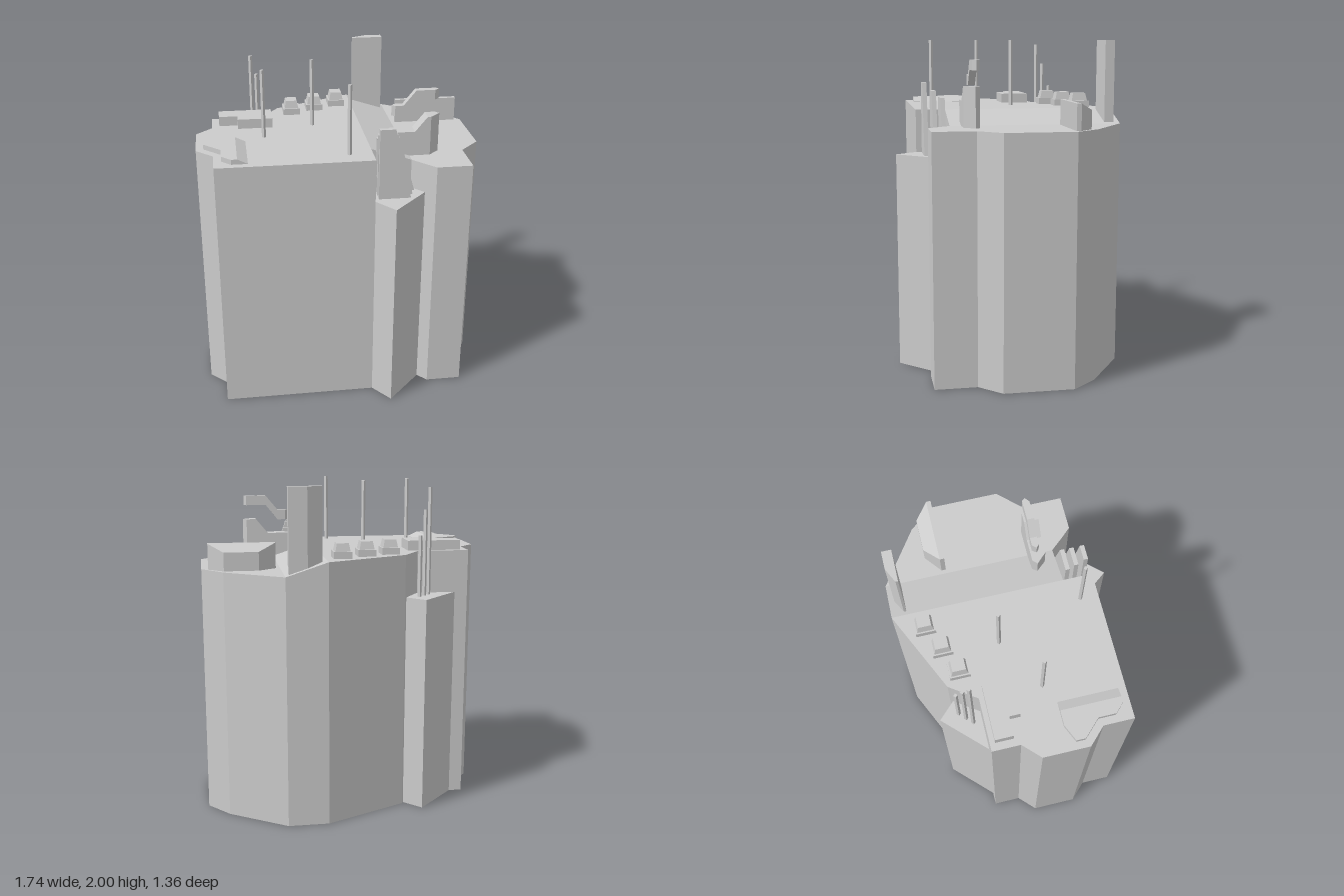
import * as THREE from 'three';

const DECK = 1.58, LOW = 1.5, LEDGE = 1.32;
const material = new THREE.MeshStandardMaterial({ color: 0xcccccc, flatShading: true, side: THREE.DoubleSide });
const height = h => (typeof h === 'function' ? h : () => h);
const ramp = (v, a, b, ya, yb) => THREE.MathUtils.mapLinear(THREE.MathUtils.clamp(v, a, b), a, b, ya, yb);

// Vertical walls along a plan path of [x, z] points, anticlockwise from above
function walls(path, bottom, top, closed = false) {
  const lo = height(bottom), hi = height(top), out = [];
  const count = closed ? path.length : path.length - 1;
  for (let i = 0; i < count; i++) {
    const [ax, az] = path[i], [bx, bz] = path[(i + 1) % path.length];
    const a = [ax, lo(ax, az), az], b = [bx, lo(bx, bz), bz];
    const c = [bx, hi(bx, bz), bz], d = [ax, hi(ax, az), az];
    out.push(...a, ...b, ...c, ...a, ...c, ...d);
  }
  return out;
}

// Filled plan polygon laid on a height rule
function cap(points, level, up = true) {
  const y = height(level), out = [];
  const flat = points.map(([x, z]) => new THREE.Vector2(x, -z));
  if (THREE.ShapeUtils.isClockWise(flat)) flat.reverse();
  for (const [a, b, c] of THREE.ShapeUtils.triangulateShape(flat, [])) {
    for (const i of up ? [a, b, c] : [a, c, b]) out.push(flat[i].x, y(flat[i].x, -flat[i].y), -flat[i].y);
  }
  return out;
}

function mesh(name, ...pieces) {
  const g = new THREE.BufferGeometry();
  g.setAttribute('position', new THREE.Float32BufferAttribute(pieces.flat(), 3));
  g.computeVertexNormals();
  const m = new THREE.Mesh(g, material);
  m.name = name;
  return m;
}

// Closed block over a plan outline; caps lists the flat facets of its top
function block(name, outline, bottom, top, caps = [outline]) {
  return mesh(name, walls(outline, bottom, top, true),
    ...caps.map(c => cap(c, top)), ...caps.map(c => cap(c, bottom, false)));
}

function solid(name, geometry, x, y, z) {
  const m = new THREE.Mesh(geometry, material);
  m.name = name;
  m.position.set(x, y, z);
  return m;
}

export function createModel() {
  const model = new THREE.Group();
  model.name = 'towerBlock';

  // Hull, open underneath, with a deck that ramps down towards +x
  const deck = x => ramp(x, 0.155, 0.4, DECK, LOW);
  const frontJoin = [0.47, 0.446], sideJoinA = [-0.35, -0.435], sideJoinB = [-0.69, -0.29];
  const frontCorner = [0.155, 0.545], notchA = [0.155, 0.365], notchB = [0.4, 0.365];
  const rightSide = [frontJoin, [0.525, 0.505], [0.74, 0.505], [0.74, 0.25], [0.865, 0.12], [0.865, -0.3],
    [0.74, -0.45], [0.4, -0.68]];
  const backLeft = [0.155, -0.68], backNotch = [-0.45, -0.29];
  const leftSide = [sideJoinB, [-0.77, -0.29], [-0.77, -0.12], [-0.87, -0.02], [-0.87, 0.26], [-0.77, 0.36],
    [-0.77, 0.545], frontCorner];
  const backCorner = [-0.34, -0.45];
  model.add(mesh('hull',
    walls([...rightSide, backLeft, backCorner, sideJoinA], 0, deck),
    walls(leftSide, 0, deck),
    walls([frontCorner, notchA, notchB, frontJoin], LEDGE, deck),
    walls([sideJoinA, backNotch, sideJoinB], LEDGE, deck),
    cap([...leftSide, notchA, backLeft, backCorner, sideJoinA, backNotch], deck),
    cap([notchA, notchB, [0.4, -0.68], backLeft], deck),
    cap([...rightSide, notchB], deck)));

  // Lower corner buttresses
  const frontWedge = [frontCorner, [0.255, 0.675], frontJoin];
  model.add(mesh('frontButtress', walls(frontWedge, 0, LEDGE), cap([...frontWedge, notchB, notchA], LEDGE)));
  const sideWedge = [sideJoinA, [-0.45, -0.535], sideJoinB];
  model.add(mesh('sideButtress', walls(sideWedge, 0, LEDGE), cap([...sideWedge, backNotch], LEDGE)));

  // Sloping fins on the front buttress
  for (const [z, top, x1, x2] of [[0.383, 1.66, 0.315, 0.413], [0.433, 1.7, 0.295, 0.392], [0.487, 1.75, 0.272, 0.372]]) {
    const profile = new THREE.Shape([[0.18, LEDGE], [x2, LEDGE], [x1, top], [0.18, top]].map(p => new THREE.Vector2(...p)));
    model.add(solid('fin', new THREE.ExtrudeGeometry(profile, { depth: 0.026, bevelEnabled: false }), 0, 0, z));
  }

  // Lower bridge: stepped top, chamfered ends
  const bridgeTop = x => ramp(x, 0.43, 0.505, 1.65, 1.74);
  model.add(block('lowerBridge',
    [[0.265, 0.235], [0.325, 0.297], [0.43, 0.297], [0.505, 0.297], [0.525, 0.297], [0.588, 0.235], [0.565, 0.208],
      [0.505, 0.208], [0.43, 0.208], [0.29, 0.208]], LOW, bridgeTop,
    [[[0.265, 0.235], [0.325, 0.297], [0.43, 0.297], [0.43, 0.208], [0.29, 0.208]],
      [[0.43, 0.297], [0.505, 0.297], [0.505, 0.208], [0.43, 0.208]],
      [[0.505, 0.297], [0.525, 0.297], [0.588, 0.235], [0.565, 0.208], [0.505, 0.208]]]));

  // Upper bridge: cranked bar above it
  const f = 0.25, b = 0.208;
  model.add(block('upperBridge',
    [[0.295, 0.232], [0.315, f], [0.365, f], [0.44, f], [0.553, f], [0.58, 0.228], [0.565, b], [0.44, b], [0.365, b], [0.315, b]],
    x => ramp(x, 0.365, 0.44, 1.737, 1.83), x => ramp(x, 0.365, 0.44, 1.8, 1.89),
    [[[0.295, 0.232], [0.315, f], [0.365, f], [0.365, b], [0.315, b]],
      [[0.365, f], [0.44, f], [0.44, b], [0.365, b]],
      [[0.44, f], [0.553, f], [0.58, 0.228], [0.565, b], [0.44, b]]]));

  // Tall rear plate
  model.add(block('tallPlate', [[0.18, -0.587], [0.378, -0.587], [0.378, -0.645], [0.27, -0.645], [0.18, -0.602]], LOW, 2));

  // Side parapet with a top falling to the back
  const ridge = [[0.425, -0.327], [0.825, -0.327]];
  const parapetFront = [[0.425, -0.3], [0.825, -0.3]], parapetBack = [[0.735, -0.41], [0.53, -0.41]];
  model.add(block('parapet', [...parapetFront, ridge[1], ...parapetBack, ridge[0]], LOW,
    (x, z) => ramp(z, -0.41, -0.327, 1.61, 1.653),
    [[...parapetFront, ridge[1], ridge[0]], [ridge[0], ridge[1], ...parapetBack]]));

  // L-shaped roof box
  model.add(block('roofBox', [[-0.725, -0.15], [-0.61, -0.15], [-0.61, -0.085], [-0.395, -0.085], [-0.395, -0.26],
    [-0.725, -0.26]], DECK, 1.64));

  // Low roof pad, sloping down to the deck
  const padA = [-0.635, 0.5], padB = [-0.635, 0.14], padEnd = [[-0.575, 0.5], [-0.575, 0.14]];
  const padLeft = [[-0.725, 0.14], [-0.825, 0.185], [-0.825, 0.24], [-0.725, 0.34], [-0.725, 0.445], [-0.67, 0.5]];
  model.add(block('roofPad', [padA, ...padEnd, padB, ...padLeft], DECK,
    x => ramp(x, -0.635, -0.575, 1.61, DECK + 0.001),
    [[padA, padB, ...padLeft], [padA, ...padEnd, padB]]));

  // Roof vents: square plinth with a tapered hood
  for (const [x, z] of [[-0.255, -0.365], [-0.1, -0.432], [0.054, -0.502]]) {
    model.add(solid('ventBase', new THREE.BoxGeometry(0.107, 0.04, 0.12), x, DECK + 0.02, z));
    const hood = new THREE.CylinderGeometry(0.035 * Math.SQRT2, 0.045 * Math.SQRT2, 0.05, 4).rotateY(Math.PI / 4);
    hood.scale(1, 1, 1.12);
    model.add(solid('ventHood', hood, x, DECK + 0.063, z));
  }

  // Antennas
  for (const [x, z, y0, y1] of [
    [-0.459, 0.08, DECK, 2], [-0.144, -0.1, DECK, 2], [0.016, 0.434, DECK, 2],
    [-0.508, -0.345, LEDGE, 1.97], [-0.473, -0.381, LEDGE, 1.84], [-0.435, -0.418, LEDGE, 1.69]]) {
    model.add(solid('antenna', new THREE.CylinderGeometry(0.0125, 0.0125, y1 - y0, 4), x, (y0 + y1) / 2, z));
  }
  return model;
}
